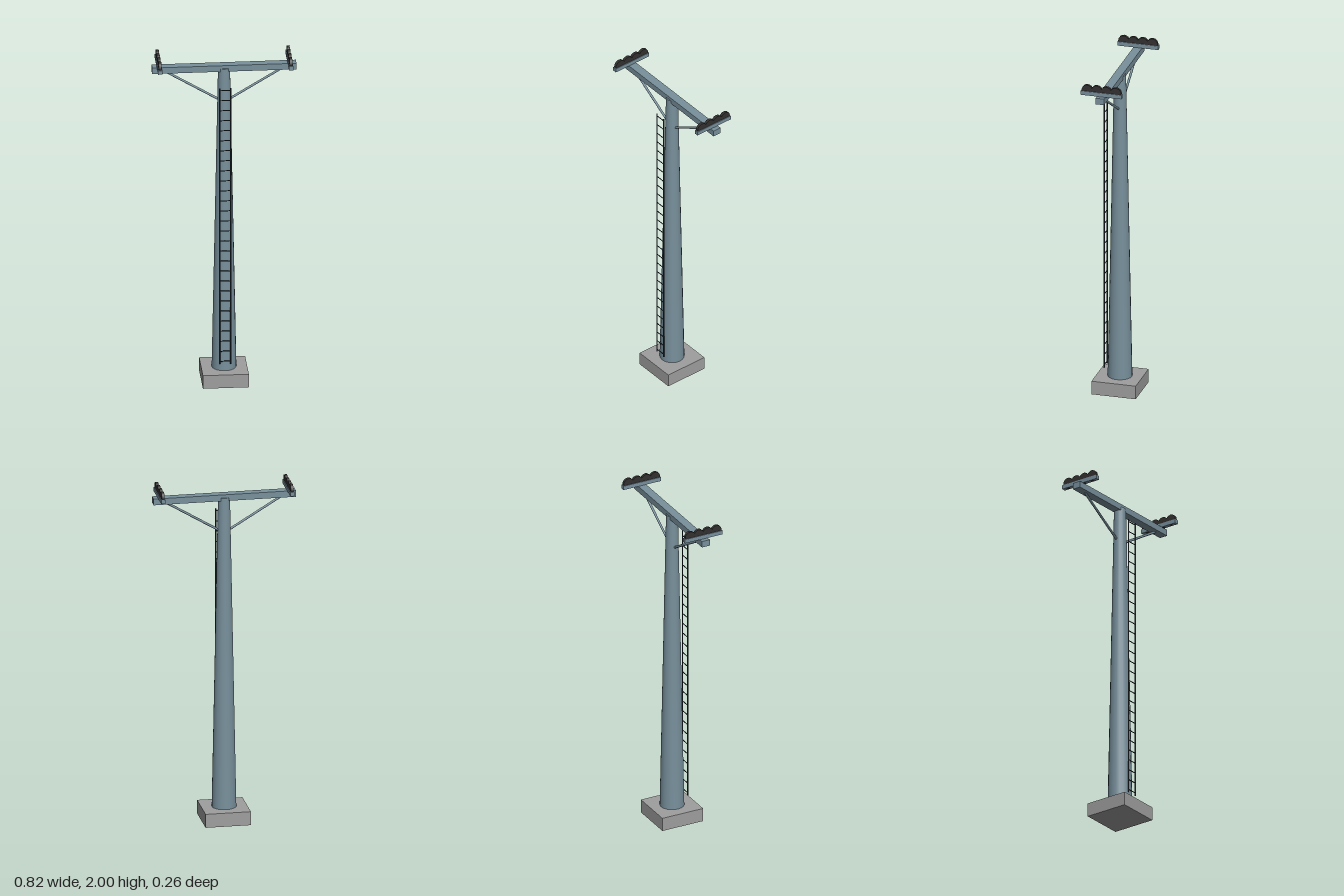
import * as THREE from 'three';

const mat = (name, color) => {
  const m = new THREE.MeshStandardMaterial({ color });
  m.name = name;
  return m;
};

export function createModel() {
  const steel = mat('blue grey steel', 0x78909c);
  const concrete = mat('concrete grey', 0x9e9e9e);
  const darkSteel = mat('dark ladder steel', 0x263238);
  const rubber = mat('black rubber', 0x333030);

  const model = new THREE.Group();
  model.name = 'liftTower';

  const add = (name, geometry, material, x, y, z, parent = model) => {
    const mesh = new THREE.Mesh(geometry, material);
    mesh.name = name;
    mesh.position.set(x, y, z);
    parent.add(mesh);
    return mesh;
  };
  const group = (name) => {
    const g = new THREE.Group();
    g.name = name;
    model.add(g);
    return g;
  };

  // Footing, tapered mast and crossarm
  add('footing', new THREE.BoxGeometry(0.26, 0.08, 0.26), concrete, 0, 0.04, 0);
  add('mast', new THREE.CylinderGeometry(0.034, 0.07, 1.84, 20), steel, 0, 1.0, 0);
  add('crossarm', new THREE.BoxGeometry(0.816, 0.037, 0.05), steel, 0, 1.92, 0);

  for (const side of [1, -1]) {
    const label = side > 0 ? 'left' : 'right';

    // Diagonal brace from mast to crossarm
    const from = new THREE.Vector3(side * 0.02, 1.717, 0);
    const to = new THREE.Vector3(side * 0.327, 1.902, 0);
    const dir = to.clone().sub(from);
    const mid = from.clone().add(to).multiplyScalar(0.5);
    const brace = add(label + 'Brace', new THREE.CylinderGeometry(0.007, 0.007, dir.length(), 8),
      steel, mid.x, mid.y, mid.z);
    brace.quaternion.setFromUnitVectors(new THREE.Vector3(0, 1, 0), dir.normalize());

    // Wheel carrier with a row of four wheels
    const sheaves = group(label + 'WheelAssembly');
    add('wheelCarrier', new THREE.BoxGeometry(0.024, 0.024, 0.24), steel, side * 0.37, 1.95, 0, sheaves);
    const wheel = new THREE.CylinderGeometry(0.032, 0.032, 0.016, 16).rotateZ(Math.PI / 2);
    for (let i = 0; i < 4; i++) {
      add('wheel', wheel, rubber, side * 0.37, 1.968, (i - 1.5) * 0.056, sheaves);
    }
  }

  // Ladder standing in front of the mast
  const ladder = group('ladder');
  const ladderZ = 0.084;
  const rail = new THREE.CylinderGeometry(0.0037, 0.0037, 1.695, 6);
  for (const x of [-0.031, 0.031]) add('rail', rail, darkSteel, x, 0.976, ladderZ, ladder);
  const rung = new THREE.CylinderGeometry(0.0027, 0.0027, 0.062, 6).rotateZ(Math.PI / 2);
  for (let i = 0; i < 28; i++) {
    add('rung', rung, darkSteel, 0, 0.145 + i * 0.0617, ladderZ, ladder);
  }

  return model;
}
